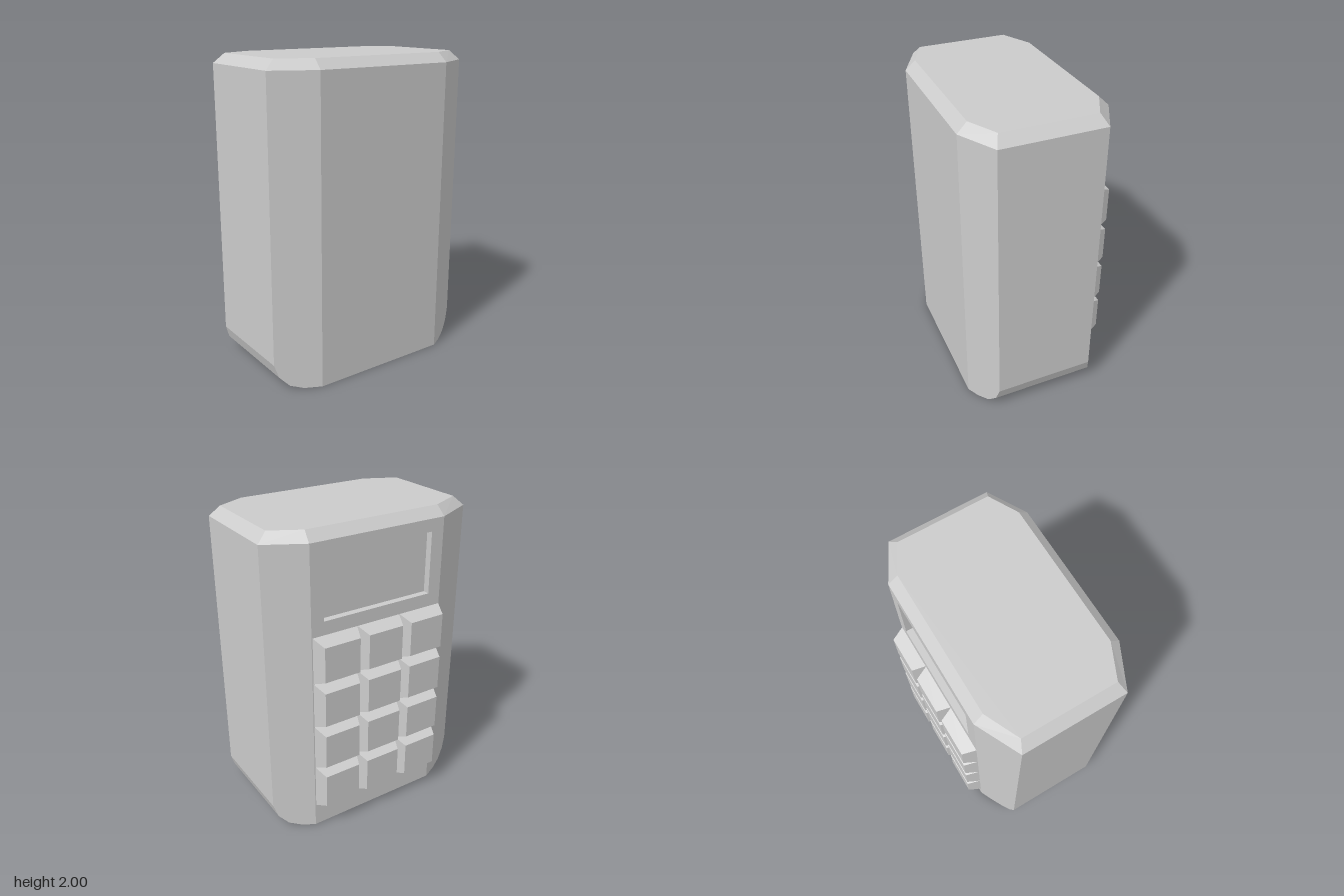
import * as THREE from 'three';

const FACE_X = -0.415, RECESS = 0.045;   // keypad side plane and display depth
const Z_FRONT = 0.457, Z_BACK = -0.484;  // where the corner chamfers begin
const CHAMFER = 0.13, Z_MAX = 0.725;

const grey = new THREE.MeshStandardMaterial({ color: 0xcccccc, flatShading: true });

function add(parent, name, geometry) {
  const mesh = new THREE.Mesh(geometry, grey);
  mesh.name = name;
  parent.add(mesh);
  return mesh;
}

// Eight-sided cross-section whose ends are cut off at +-z
function section(y, z) {
  const f = CHAMFER * (z - Z_FRONT) / (Z_MAX - Z_FRONT);
  const b = CHAMFER * (z + Z_BACK) / (Z_MAX + Z_BACK);
  return [
    [FACE_X + f, z], [0.495 - f, z], [0.495, Z_FRONT], [0.495, Z_BACK],
    [0.495 - b, -z], [FACE_X + b, -z], [FACE_X, Z_BACK], [FACE_X, Z_FRONT],
  ].map(([x, pz]) => new THREE.Vector3(x, y, pz));
}

function bodyGeometry() {
  // rounded foot at front and back, straight sides, bevelled top
  const rings = [[0, 0.56], [0.025, 0.64], [0.085, 0.697], [0.17, Z_MAX], [1.94, Z_MAX]]
    .map(([y, z]) => section(y, z));
  rings.push([
    [-0.255, 0.66], [0.335, 0.66], [0.432, 0.45], [0.432, -0.475],
    [0.335, -0.66], [-0.255, -0.66], [-0.353, -0.475], [-0.353, 0.45],
  ].map(([x, z]) => new THREE.Vector3(x, 2, z)));

  const points = [];
  for (let r = 0; r < rings.length - 1; r++) {
    for (let i = 0; i < 8; i++) {
      if (i === 6 && r < rings.length - 2) continue; // closed by the keypad panel
      const j = (i + 1) % 8, lo = rings[r], hi = rings[r + 1];
      points.push(lo[i], lo[j], hi[j], lo[i], hi[j], hi[i]);
    }
  }
  const bottom = rings[0], top = rings[rings.length - 1];
  for (let i = 1; i < 7; i++) {
    points.push(top[0], top[i], top[i + 1], bottom[0], bottom[i + 1], bottom[i]);
  }
  const geometry = new THREE.BufferGeometry().setFromPoints(points);
  geometry.computeVertexNormals();
  return geometry;
}

function rectangle(PathType, x0, y0, x1, y1) {
  return new PathType([[x0, y0], [x1, y0], [x1, y1], [x0, y1]].map(p => new THREE.Vector2(...p)));
}

// Key that tapers towards its outer (-x) face
function keyGeometry() {
  const depth = 0.088;
  const geometry = new THREE.BoxGeometry(depth, 0.304, 0.311);
  const pos = geometry.attributes.position;
  for (let i = 0; i < pos.count; i++) {
    if (pos.getX(i) < 0) {
      pos.setY(i, pos.getY(i) * 0.75);
      pos.setZ(i, pos.getZ(i) * 0.79);
    }
  }
  geometry.translate(-depth / 2, 0, 0);
  geometry.computeVertexNormals();
  return geometry;
}

export function createModel() {
  const model = new THREE.Group();
  model.name = 'keypadTerminal';
  add(model, 'body', bodyGeometry());

  // Keypad side panel with the display opening
  const outline = rectangle(THREE.Shape, Z_BACK, 0, Z_FRONT, 1.94);
  outline.holes.push(rectangle(THREE.Path, -0.4, 1.46, 0.368, 1.86));
  const panel = new THREE.ExtrudeGeometry(outline, { depth: RECESS, bevelEnabled: false });
  panel.rotateY(-Math.PI / 2);
  add(model, 'keypadPanel', panel).position.x = FACE_X + RECESS;

  // Sunken display
  const display = new THREE.PlaneGeometry(0.8, 0.44).rotateY(-Math.PI / 2);
  add(model, 'display', display).position.set(FACE_X + RECESS - 0.001, 1.66, -0.016);

  // Four rows of three keys
  const keys = new THREE.Group();
  keys.name = 'keys';
  const keyShape = keyGeometry();
  for (let row = 0; row < 4; row++) {
    for (let column = 0; column < 3; column++) {
      add(keys, 'key', keyShape).position.set(-0.412, 0.31 + row * 0.304, -0.323 + column * 0.312);
    }
  }
  model.add(keys);
  return model;
}
